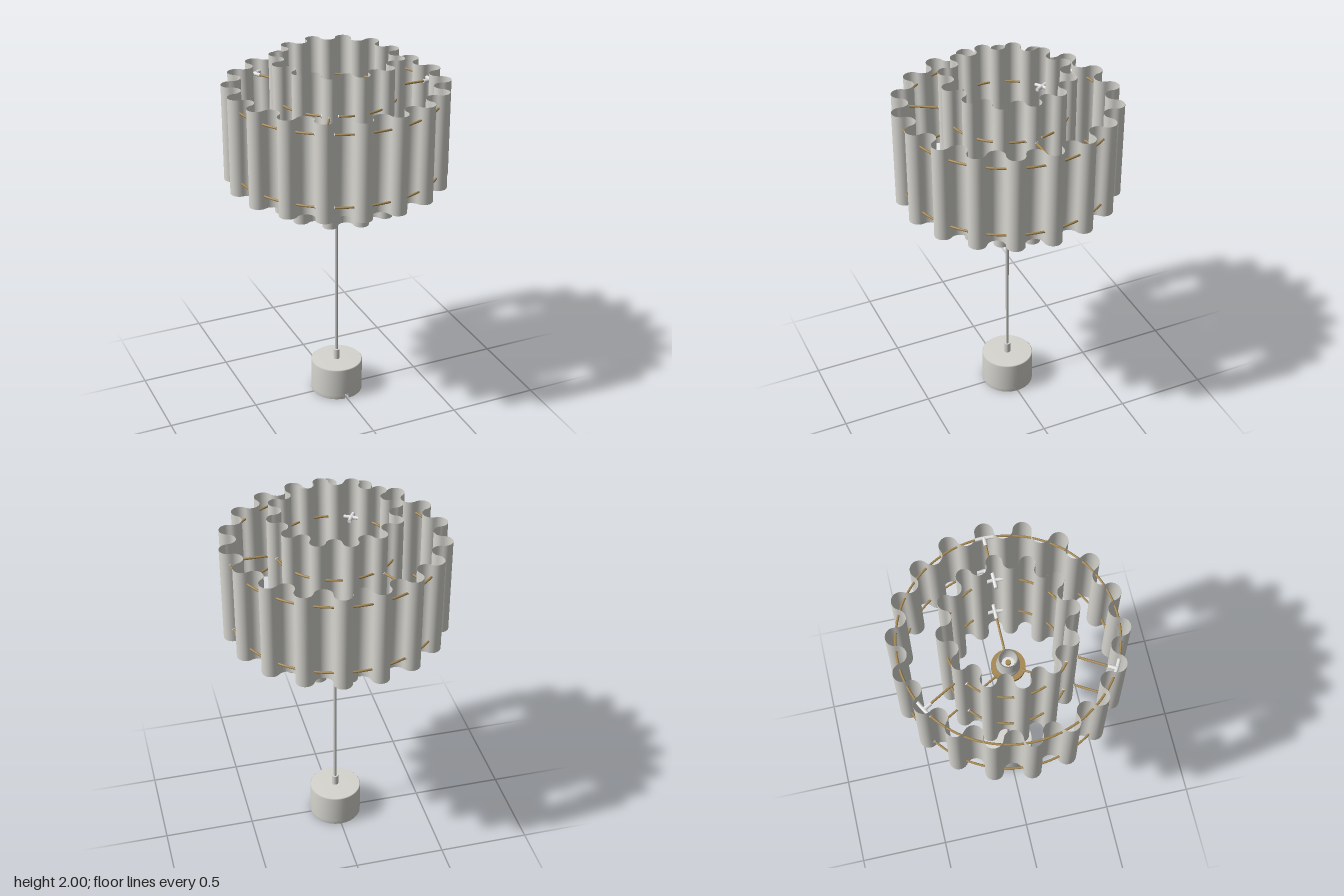
import * as THREE from 'three';
import { mergeVertices } from 'three/addons/utils/BufferGeometryUtils.js';

const mat = (name, color, side = THREE.FrontSide) => {
  const m = new THREE.MeshStandardMaterial({ color, side });
  m.name = name;
  return m;
};

export function createModel() {
  const shadeGrey = mat('warm light grey', 0xd6d5cf, THREE.DoubleSide);
  const brass = mat('brass', 0xa68851);
  const white = mat('white', 0xe4e4e4);
  const steel = mat('steel', 0xc4c4c1);
  const dark = mat('dark grey', 0x55534e);

  const root = new THREE.Group();
  root.name = 'tableLamp';
  const add = (name, geo, material, parent = root) => {
    const m = new THREE.Mesh(geo, material);
    m.name = name;
    parent.add(m);
    return m;
  };
  const cyl = (name, r, y0, y1, material, seg = 32) => {
    const m = add(name, new THREE.CylinderGeometry(r, r, y1 - y0, seg), material);
    m.position.y = (y0 + y1) / 2;
    return m;
  };
  const lathe = (name, pts, material, start = 0, length = Math.PI * 2) =>
    add(name, new THREE.LatheGeometry(pts.map(p => new THREE.Vector2(...p)), 64, start, length), material);

  // Corrugated shade: half circles bulging alternately out and in along a ring
  const SEG = 12;
  function shadeGeometry(R, lobes, y0, y1) {
    const n = lobes * SEG, step = Math.PI * 2 / lobes;
    const r = R * Math.sin(step / 2), c = R * Math.cos(step / 2);
    const g = new THREE.CylinderGeometry(1, 1, y1 - y0, n, 1, true);
    const p = g.attributes.position;
    for (let i = 0; i < p.count; i++) {
      const col = (i % (n + 1)) % n;
      const lobe = Math.floor(col / SEG), phi = (col % SEG) / SEG * Math.PI;
      const a = Math.PI / 2 + lobe * step;
      const t = -r * Math.cos(phi);
      const d = c + (lobe % 2 ? -1 : 1) * r * Math.sin(phi);
      p.setXYZ(i, d * Math.sin(a) + t * Math.cos(a), p.getY(i) + (y0 + y1) / 2,
        d * Math.cos(a) - t * Math.sin(a));
    }
    g.deleteAttribute('uv');
    g.deleteAttribute('normal');
    const welded = mergeVertices(g);
    welded.computeVertexNormals();
    return welded;
  }
  const OUT = 0.554, INN = 0.315, LOW = 1.4, HIGH = 1.79;
  add('outerShade', shadeGeometry(OUT, 36, 1.33, 1.86), shadeGrey);
  add('innerShade', shadeGeometry(INN, 24, 1.18, 2.0), shadeGrey);

  // Wire rings threaded through the shades
  for (const y of [LOW, HIGH]) {
    for (const [name, R] of [['outerRing', OUT], ['innerRing', INN]]) {
      const ring = add(name, new THREE.TorusGeometry(R, 0.006, 8, 120), brass);
      ring.rotation.x = Math.PI / 2;
      ring.position.y = y;
    }
  }

  // Spokes and sleeve connectors, three arms at each level
  const bar = (name, r, x0, x1, material, parent) => {
    const m = add(name, new THREE.CylinderGeometry(r, r, x1 - x0, 12), material, parent);
    m.rotation.z = Math.PI / 2;
    m.position.x = (x0 + x1) / 2;
  };
  const sleeve = (R, half, parent) => {
    const pts = [-1, -0.5, 0, 0.5, 1].map(k =>
      new THREE.Vector3(R * Math.cos(k * half / R), 0, R * Math.sin(k * half / R)));
    const tube = new THREE.TubeGeometry(new THREE.CatmullRomCurve3(pts), 12, 0.0095, 10);
    add('ringSleeve', tube, white, parent);
  };
  for (const y of [LOW, HIGH]) {
    for (let k = 0; k < 3; k++) {
      const arm = new THREE.Group();
      arm.name = 'arm';
      arm.position.y = y;
      arm.rotation.y = k * Math.PI * 2 / 3;
      root.add(arm);
      bar('spoke', 0.006, y === LOW ? 0.075 : INN, OUT, brass, arm);
      if (y === LOW) bar('spokeBoss', 0.01, 0.075, 0.092, brass, arm);
      bar('innerSleeve', 0.0105, INN - 0.045, INN + 0.04, white, arm);
      bar('outerSleeve', 0.0105, OUT - 0.045, OUT, white, arm);
      sleeve(INN, 0.045, arm);
      sleeve(OUT, 0.05, arm);
    }
  }

  // Hub and lamp holder
  cyl('hub', 0.09, LOW - 0.012, LOW + 0.008, brass, 48);
  lathe('lampHolder', [[0.03, 1.32], [0.04, 1.33], [0.04, 1.39], [0.062, 1.41], [0.062, 1.43],
    [0.052, 1.435], [0.052, 1.5], [0.044, 1.5], [0.044, 1.42], [0, 1.42]], steel);
  cyl('holderCore', 0.034, 1.42, 1.44, white);
  cyl('contact', 0.014, 1.44, 1.455, brass);

  // Stem and collar
  cyl('stem', 0.0085, 0.15, 1.33, steel, 20);
  cyl('collar', 0.018, 0.185, 0.25, shadeGrey, 24);

  // Hollow base with a cable notch at the front
  const H = 0.028, gap = 0.09;
  lathe('base', [[0.14, H], [0.145, H], [0.145, 0.185], [0.14, 0.19], [0, 0.19]], shadeGrey);
  lathe('baseInside', [[0, 0.184], [0.14, 0.184], [0.14, H]], shadeGrey);
  lathe('baseFoot', [[0.14, H], [0.14, 0], [0.145, 0], [0.145, H]], shadeGrey, gap, Math.PI * 2 - gap * 2);
  const grommet = add('cableGrommet', new THREE.TorusGeometry(0.011, 0.003, 8, 20, Math.PI), shadeGrey);
  grommet.position.set(0, 0.014, 0.143);
  cyl('stemNut', 0.028, 0.155, 0.184, dark, 6);

  return root;
}
